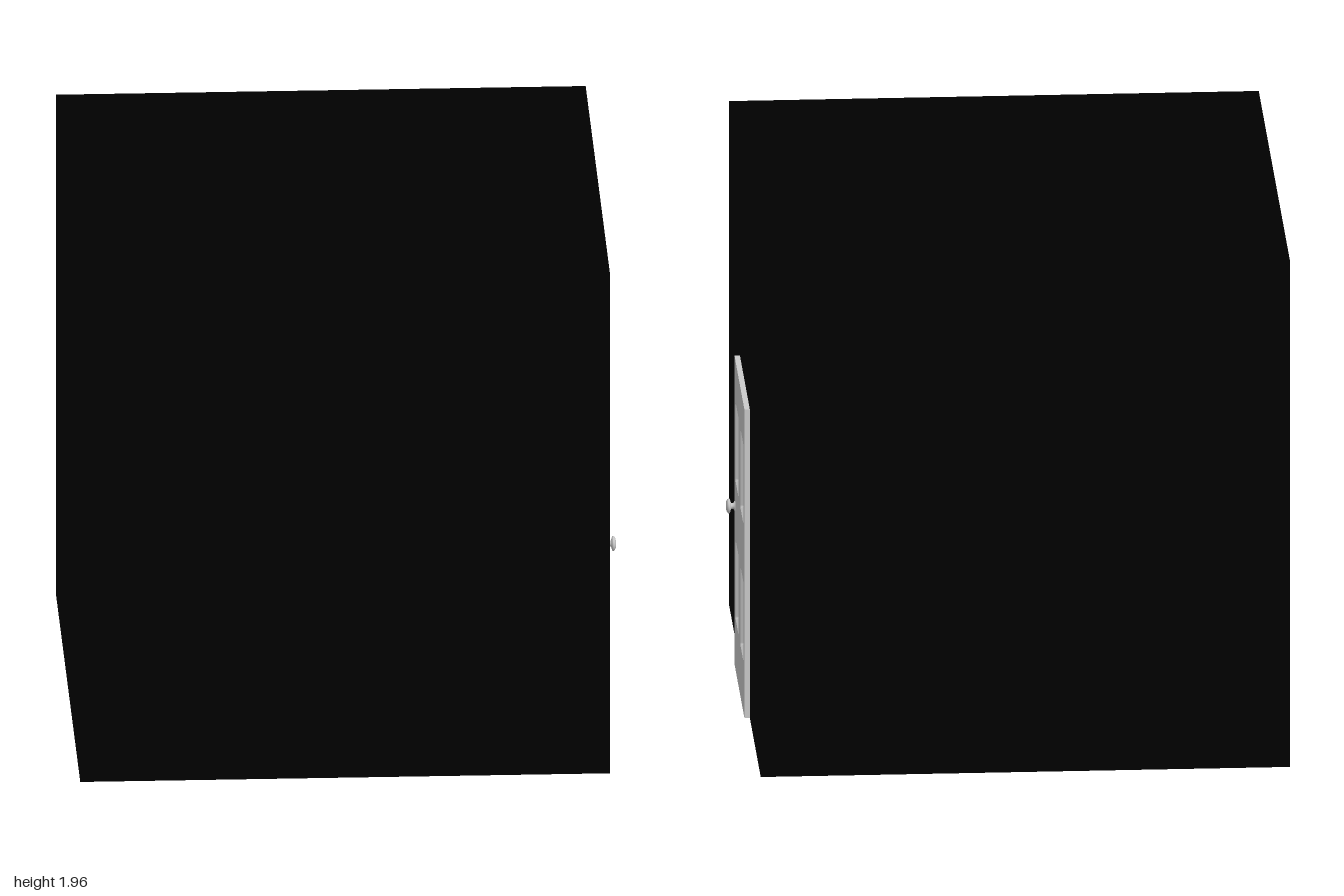
import * as THREE from 'three';

const grey = new THREE.MeshStandardMaterial({ color: 0xcccccc });
const black = new THREE.MeshStandardMaterial({ color: 0x000000 });

const DOOR = { left: -0.313, right: 0.303, height: 1.195, thickness: 0.02 };
const PANEL = { w: 0.178, h: 0.308, depth: 0.01, slope: 0.007, corner: 0.012 };

function add(parent, name, geometry, material = grey) {
  const mesh = new THREE.Mesh(geometry, material);
  mesh.name = name;
  parent.add(mesh);
  return mesh;
}

// Rounded rectangle around (cx, cy), drawn counter-clockwise
function roundedRect(cx, cy, w, h, r, PathType = THREE.Shape) {
  const p = new PathType();
  const x = w / 2 - r, y = h / 2 - r;
  p.moveTo(cx - x, cy - h / 2);
  p.absarc(cx + x, cy - y, r, -Math.PI / 2, 0);
  p.absarc(cx + x, cy + y, r, 0, Math.PI / 2);
  p.absarc(cx - x, cy + y, r, Math.PI / 2, Math.PI);
  p.absarc(cx - x, cy - y, r, Math.PI, Math.PI * 1.5);
  return p;
}

// Sloping band joining two matching outlines at different depths
function slopedRim(outer, inner, zOuter, zInner) {
  const a = outer.getPoints(4), b = inner.getPoints(4);
  const pos = [];
  for (let i = 0; i < a.length; i++) {
    const j = (i + 1) % a.length;
    const a0 = [a[i].x, a[i].y, zOuter], a1 = [a[j].x, a[j].y, zOuter];
    const b0 = [b[i].x, b[i].y, zInner], b1 = [b[j].x, b[j].y, zInner];
    pos.push(...a0, ...a1, ...b0, ...a1, ...b1, ...b0);
  }
  const g = new THREE.BufferGeometry();
  g.setAttribute('position', new THREE.Float32BufferAttribute(pos, 3));
  g.computeVertexNormals();
  return g;
}

function createDoor() {
  const door = new THREE.Group();
  door.name = 'door';
  const { left, right, height, thickness } = DOOR;
  const { w, h, depth, slope, corner } = PANEL;

  const slab = new THREE.Shape([
    new THREE.Vector2(left, 0), new THREE.Vector2(right, 0),
    new THREE.Vector2(right, height), new THREE.Vector2(left, height),
  ]);

  // Four recessed panels
  const floor = thickness - depth;
  for (const cx of [-0.152, 0.146]) {
    for (const cy of [0.352, 0.885]) {
      slab.holes.push(roundedRect(cx, cy, w, h, corner, THREE.Path));
      const outer = roundedRect(cx, cy, w, h, corner);
      const inner = roundedRect(cx, cy, w - 2 * slope, h - 2 * slope, corner - slope);
      add(door, 'panelRim', slopedRim(outer, inner, thickness, floor));
      add(door, 'panelFloor', new THREE.ShapeGeometry(inner, 4).translate(0, 0, floor));
    }
  }
  add(door, 'doorSlab', new THREE.ExtrudeGeometry(slab, { depth: thickness, bevelEnabled: false, curveSegments: 4 }));

  // Turned knob with a base plate, a neck and a rounded head
  const profile = [
    [0, 0], [0.017, 0], [0.017, 0.004], [0.011, 0.007], [0.011, 0.016], [0.02, 0.018],
    [0.027, 0.021], [0.028, 0.025], [0.025, 0.029], [0.017, 0.033], [0, 0.035],
  ].map(([r, y]) => new THREE.Vector2(r, y));
  const knob = add(door, 'doorKnob', new THREE.LatheGeometry(profile, 24));
  knob.rotation.x = Math.PI / 2;
  knob.position.set(-0.263, 0.63, thickness);
  return door;
}

export function createModel() {
  const model = new THREE.Group();
  model.name = 'cubeWithDoor';

  // Plain dark block
  const block = add(model, 'block', new THREE.BoxGeometry(1.945, 1.955, 1.95), black);
  block.position.set(-0.0275, 0.9775, 0);

  // Door on the block's +x side
  const door = createDoor();
  door.rotation.y = Math.PI / 2;
  door.position.x = 0.945;
  model.add(door);
  return model;
}
